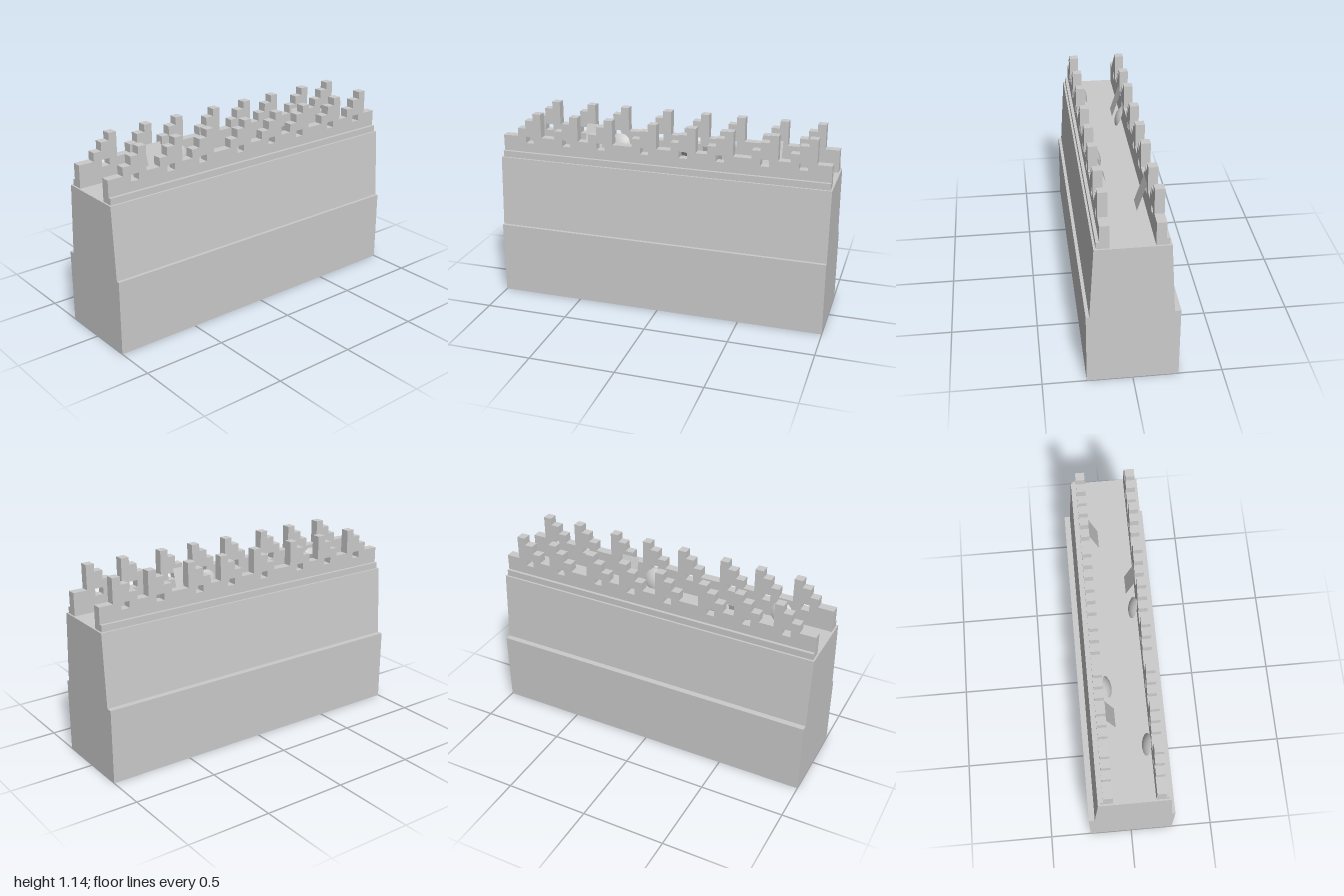
import * as THREE from 'three';

const grey = new THREE.MeshStandardMaterial({ color: 0xcccccc, side: THREE.DoubleSide });
const DECK = 0.866, CREST = 1.0, SHIFT = 0.008;

function addMesh(parent, name, geometry) {
  const mesh = new THREE.Mesh(geometry, grey);
  mesh.name = name;
  parent.add(mesh);
  return mesh;
}

// Hollow wall body: end profile run along x, with the underside left open
function bodyGeometry() {
  const profile = [
    [0.255, 0], [0.255, 0.44], [0.22, 0.44], [0.194, DECK],
    [-0.21, DECK], [-0.236, 0.44], [-0.255, 0.44], [-0.255, 0],
  ].map(([x, y]) => new THREE.Vector2(x, y));
  const solid = new THREE.ExtrudeGeometry(new THREE.Shape(profile), { depth: 2, bevelEnabled: false });
  solid.translate(0, 0, -1).rotateY(Math.PI / 2);
  const p = solid.attributes.position, kept = [];
  for (let i = 0; i < p.count; i += 3) {
    if (Math.max(p.getY(i), p.getY(i + 1), p.getY(i + 2)) < 0.001) continue;
    for (let k = i; k < i + 3; k++) kept.push(p.getX(k), p.getY(k), p.getZ(k));
  }
  const open = new THREE.BufferGeometry();
  open.setAttribute('position', new THREE.Float32BufferAttribute(kept, 3));
  open.computeVertexNormals();
  return open;
}

// Parapet: stepped merlons, each with a small loophole beneath
function parapetGeometry() {
  const merlonEnds = [-0.746, -0.511, -0.294, -0.024, 0.211, 0.43, 0.687, 0.906];
  const step = 0.05, heights = [1.05, 1.1, 1.144];
  const shape = new THREE.Shape();
  shape.moveTo(0.99, DECK);
  shape.lineTo(-0.99, DECK);
  shape.lineTo(-0.99, CREST);
  for (const end of merlonEnds) {
    let x = end - 3 * step;
    shape.lineTo(x, CREST);
    for (const y of heights) {
      shape.lineTo(x, y);
      x += step;
      shape.lineTo(x, y);
    }
    shape.lineTo(end, CREST);
    const hole = new THREE.Path();
    const a = end - 2 * step, b = end - step;
    hole.moveTo(a, 0.96);
    hole.lineTo(b, 0.96);
    hole.lineTo(b, CREST);
    hole.lineTo(a, CREST);
    hole.closePath();
    shape.holes.push(hole);
  }
  shape.lineTo(0.99, CREST);
  shape.closePath();
  return new THREE.ExtrudeGeometry(shape, { depth: 0.053, bevelEnabled: false }).translate(0, 0, -0.0265);
}

// Shallow domed disc, bulging toward the walkway
function roundShieldGeometry(side) {
  const radius = 0.062, bulge = 0.018;
  const R = (radius * radius + bulge * bulge) / (2 * bulge);
  return new THREE.SphereGeometry(R, 28, 8, 0, Math.PI * 2, 0, Math.asin(radius / R))
    .translate(0, bulge - R, 0)
    .rotateX(-side * Math.PI / 2)
    .translate(0, radius, 0);
}

export function createModel() {
  const model = new THREE.Group();
  model.name = 'castleWall';
  addMesh(model, 'wallBody', bodyGeometry());

  const sides = [
    { side: 1, name: 'front', round: [-0.692, 0.123], square: [0.293] },
    { side: -1, name: 'back', round: [-0.343], square: [-0.511, 0.605] },
  ];
  for (const { side, name, round, square } of sides) {
    const group = new THREE.Group();
    group.name = name + 'Battlement';
    group.position.z = SHIFT;
    model.add(group);

    addMesh(group, 'parapet', parapetGeometry()).position.z = side * 0.1455;
    // Low ledge along the outer foot of the parapet
    addMesh(group, 'ledge', new THREE.BoxGeometry(1.98, 0.038, 0.018))
      .position.set(0, DECK + 0.019, side * 0.181);

    // Shields leaning against the inner face
    for (const x of round) {
      const shield = addMesh(group, 'roundShield', roundShieldGeometry(side));
      shield.position.set(x, DECK, side * 0.071);
      shield.rotation.x = side * 0.39;
    }
    for (const x of square) {
      const shield = addMesh(group, 'squareShield', new THREE.PlaneGeometry(0.11, 0.168).translate(0, 0.084, 0));
      shield.position.set(x, DECK, side * 0.066);
      shield.rotation.x = side * 0.32;
    }
  }
  return model;
}
